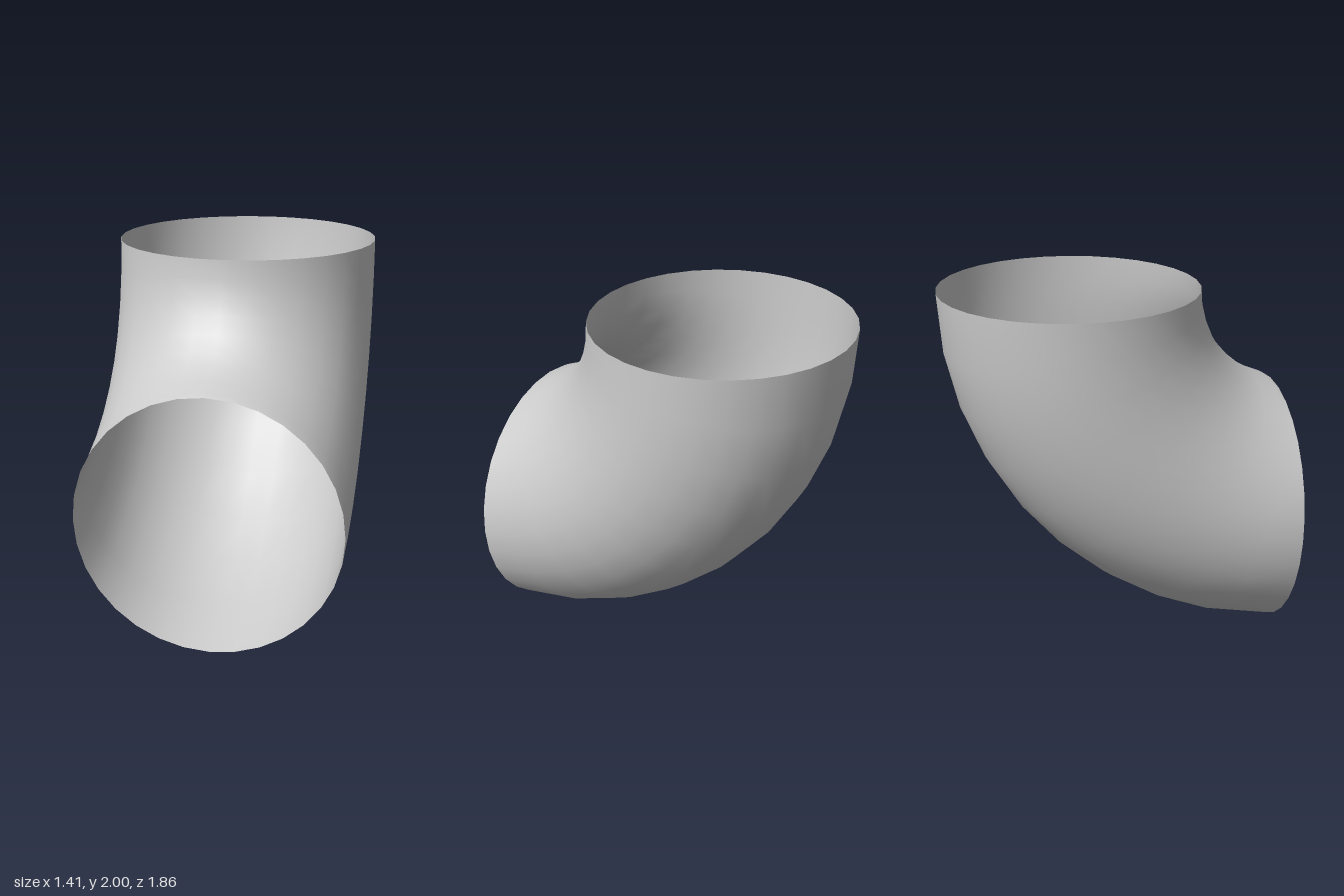
import * as THREE from 'three';

const SIDES = 32;
const RINGS = 9;
const PIPE_RADIUS = 0.705;
const BEND_RADIUS = 1.31;
const PIVOT = { y: 2, z: 1.085 };
const STEP = THREE.MathUtils.degToRad(9.1);
const END_TILT = THREE.MathUtils.degToRad(87.5);

// Open pipe swept round a bend: circular rings joined by smooth quads
function bentPipe() {
  const positions = [];
  const indices = [];
  for (let i = 0; i <= RINGS; i++) {
    const bend = i * STEP;
    const cy = PIVOT.y - BEND_RADIUS * Math.sin(bend);
    const cz = PIVOT.z - BEND_RADIUS * Math.cos(bend);
    // the mouth ring leans slightly further than the bend
    const tilt = i === RINGS ? END_TILT : bend;
    for (let j = 0; j < SIDES; j++) {
      const a = (j / SIDES) * Math.PI * 2;
      const out = PIPE_RADIUS * Math.cos(a);
      positions.push(
        PIPE_RADIUS * Math.sin(a),
        cy - out * Math.sin(tilt),
        cz - out * Math.cos(tilt)
      );
    }
  }
  for (let i = 0; i < RINGS; i++) {
    for (let j = 0; j < SIDES; j++) {
      const k = (j + 1) % SIDES;
      const a = i * SIDES + j;
      const b = i * SIDES + k;
      const c = a + SIDES;
      const d = b + SIDES;
      indices.push(a, b, c, b, d, c);
    }
  }
  const geometry = new THREE.BufferGeometry();
  geometry.setAttribute('position', new THREE.Float32BufferAttribute(positions, 3));
  geometry.setIndex(indices);
  geometry.computeVertexNormals();
  return geometry;
}

export function createModel() {
  const group = new THREE.Group();
  group.name = 'pipeElbow';
  const material = new THREE.MeshStandardMaterial({ color: 0xcccccc, side: THREE.DoubleSide });
  const pipe = new THREE.Mesh(bentPipe(), material);
  pipe.name = 'bentPipe';
  group.add(pipe);
  return group;
}
